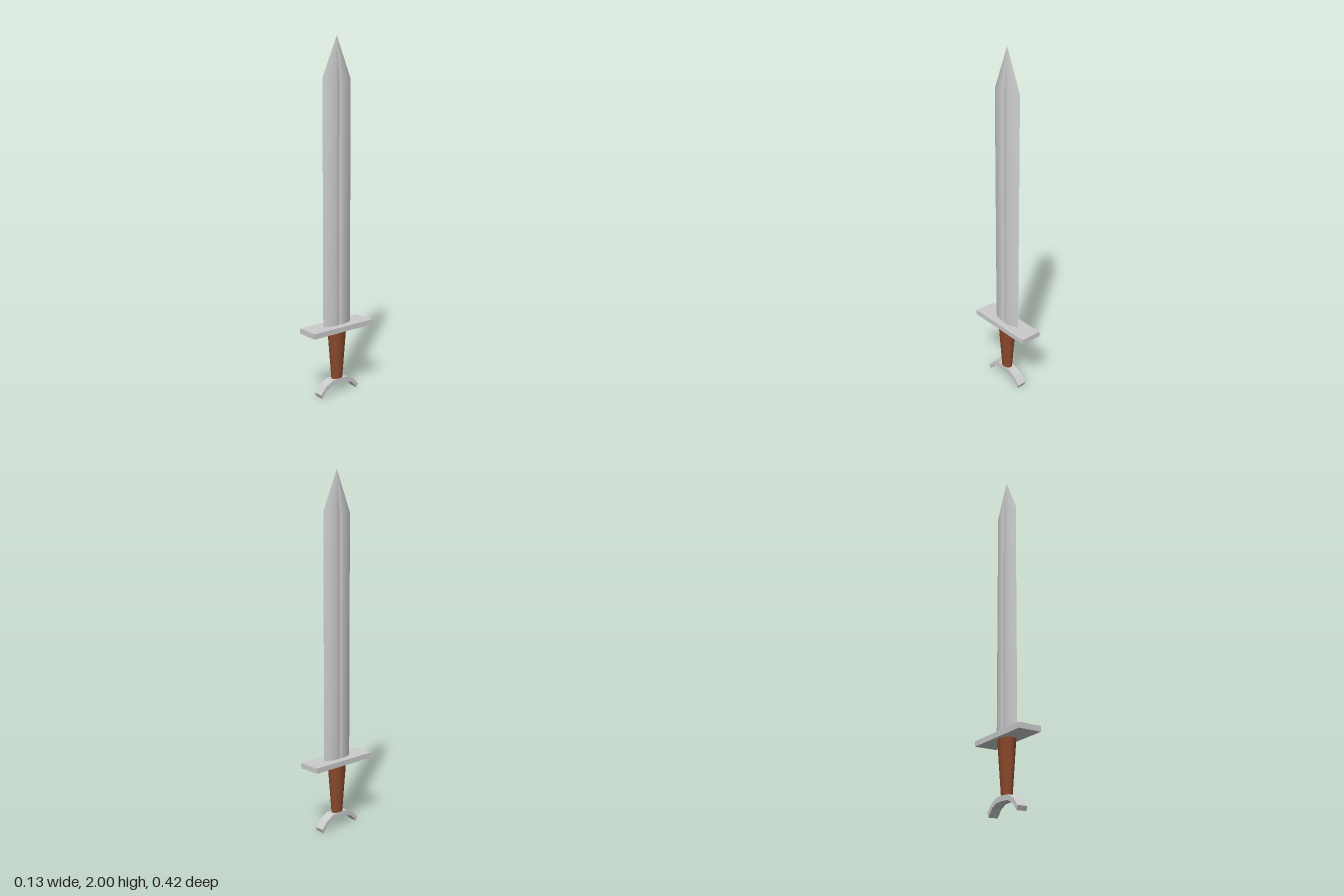
import * as THREE from 'three';
import { toCreasedNormals } from 'three/addons/utils/BufferGeometryUtils.js';

const metal = new THREE.MeshStandardMaterial({ color: 0xcccccc });
const leather = new THREE.MeshStandardMaterial({ color: 0x8b4a2b });

// Blade: a pointed section with a shallow central groove, drawn up to a single tip
function bladeGeometry() {
  const quarter = [[0, 0.098], [0.012, 0.077], [0.02, 0.056], [0.0245, 0.037],
    [0.026, 0.022], [0.025, 0.009], [0.021, 0]];
  const side = [...quarter, ...quarter.slice(0, -1).reverse().map(([x, z]) => [x, -z])];
  const ring = [...side, ...side.slice(1, -1).reverse().map(([x, z]) => [-x, z])];
  const n = ring.length;
  const positions = [];
  for (const y of [0.4, 1.775]) for (const [x, z] of ring) positions.push(x, y, z);
  positions.push(0, 2, 0);
  const index = [];
  for (let i = 0; i < n; i++) {
    const j = (i + 1) % n;
    index.push(i, j, n + j, i, n + j, n + i); // straight body
    index.push(n + i, n + j, 2 * n); // tip
  }
  const geometry = new THREE.BufferGeometry();
  geometry.setAttribute('position', new THREE.Float32BufferAttribute(positions, 3));
  geometry.setIndex(index);
  return toCreasedNormals(geometry, THREE.MathUtils.degToRad(28));
}

// Pommel: a faceted crescent band in the z-y plane, extruded across x
function pommelGeometry(width) {
  const outer = [[0.138, 0.023], [0.1, 0.063], [0.053, 0.087], [0, 0.09]];
  const inner = [[0, 0.062], [0.05, 0.06], [0.092, 0.041], [0.128, 0]];
  const mirror = (points) => points.filter(([z]) => z > 0).reverse().map(([z, y]) => [-z, y]);
  const outline = [...outer, ...mirror(outer), ...mirror(inner), ...inner];
  const shape = new THREE.Shape(outline.map(([z, y]) => new THREE.Vector2(z, y)));
  const geometry = new THREE.ExtrudeGeometry(shape, { depth: width, bevelEnabled: false });
  return geometry.translate(0, 0, -width / 2).rotateY(-Math.PI / 2);
}

export function createModel() {
  const sword = new THREE.Group();
  sword.name = 'sword';
  const add = (name, geometry, material, y = 0) => {
    const mesh = new THREE.Mesh(geometry, material);
    mesh.name = name;
    mesh.position.y = y;
    sword.add(mesh);
  };

  add('blade', bladeGeometry(), metal);
  add('guard', new THREE.BoxGeometry(0.131, 0.03, 0.42), metal, 0.392);
  // Grip: tapered and oval, wider along the blade's width
  add('grip', new THREE.CylinderGeometry(0.058, 0.034, 0.296, 32).scale(0.78, 1, 1), leather, 0.23);
  add('pommel', pommelGeometry(0.056), metal);
  return sword;
}
